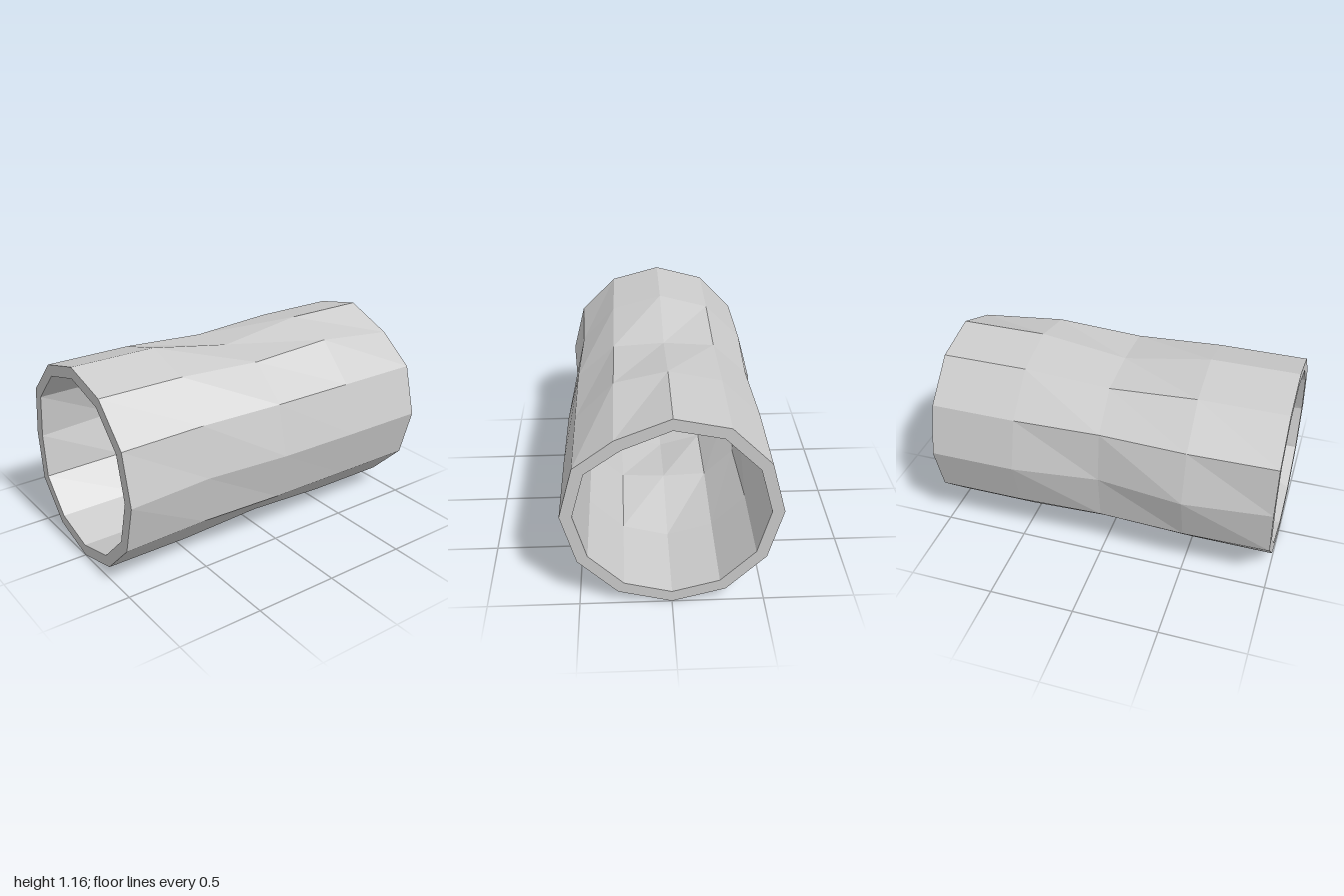
import * as THREE from 'three';

const SIDES = 12, CENTER_Y = 0.5825, OUTER = 0.5815, INNER = 0.515;
const RINGS = [1, 0.5, 0, -0.5, -1];

// Dents: [ring, side, dx, dy]; side 0 is +x, 3 the top, 6 is -x, 9 the bottom
const DENTS = [
  [0, 5, 0.01, 0], [0, 6, 0.052, 0], [0, 7, 0.01, 0],
  [0, 0, -0.005, 0],
  [1, 11, -0.018, 0], [1, 0, -0.042, 0], [1, 1, -0.018, 0],
  [2, 2, 0, -0.027], [2, 3, 0, -0.087], [2, 4, 0, -0.03],
  [2, 5, 0.018, 0], [2, 6, 0.06, 0], [2, 7, 0.018, 0],
  [2, 8, 0, 0.023], [2, 9, 0, 0.08], [2, 10, 0, 0.023],
  [2, 0, -0.005, 0],
  [3, 3, 0, -0.015], [4, 3, 0, -0.015], [4, 2, 0, -0.053],
];

// One wall point, moved by its dent
function wallPoint(ring, side, radius) {
  const a = (side / SIDES) * Math.PI * 2;
  const p = [Math.cos(a) * radius, CENTER_Y + Math.sin(a) * radius, RINGS[ring]];
  for (const [r, s, dx, dy] of DENTS) {
    if (r === ring && s === side) { p[0] += dx; p[1] += dy; }
  }
  return p;
}

// Closed wall section: back along the outside, forward along the inside
function pipeGeometry() {
  const section = [];
  for (let r = 0; r < RINGS.length; r++) section.push([r, OUTER]);
  for (let r = RINGS.length - 1; r >= 0; r--) section.push([r, INNER]);

  const n = section.length, positions = [], index = [];
  for (let k = 0; k < SIDES; k++) {
    for (const [r, radius] of section) positions.push(...wallPoint(r, k, radius));
    for (let j = 0; j < n; j++) {
      const k2 = (k + 1) % SIDES, j2 = (j + 1) % n;
      const a = k * n + j, b = k * n + j2, c = k2 * n + j2, d = k2 * n + j;
      index.push(a, b, d, b, c, d);
    }
  }
  const geometry = new THREE.BufferGeometry();
  geometry.setAttribute('position', new THREE.Float32BufferAttribute(positions, 3));
  geometry.setIndex(index);
  const flat = geometry.toNonIndexed();
  flat.computeVertexNormals();
  return flat;
}

export function createModel() {
  const group = new THREE.Group();
  group.name = 'dentedPipe';
  const material = new THREE.MeshStandardMaterial({ color: 0xcccccc, flatShading: true });
  const pipe = new THREE.Mesh(pipeGeometry(), material);
  pipe.name = 'pipeWall';
  group.add(pipe);
  return group;
}
